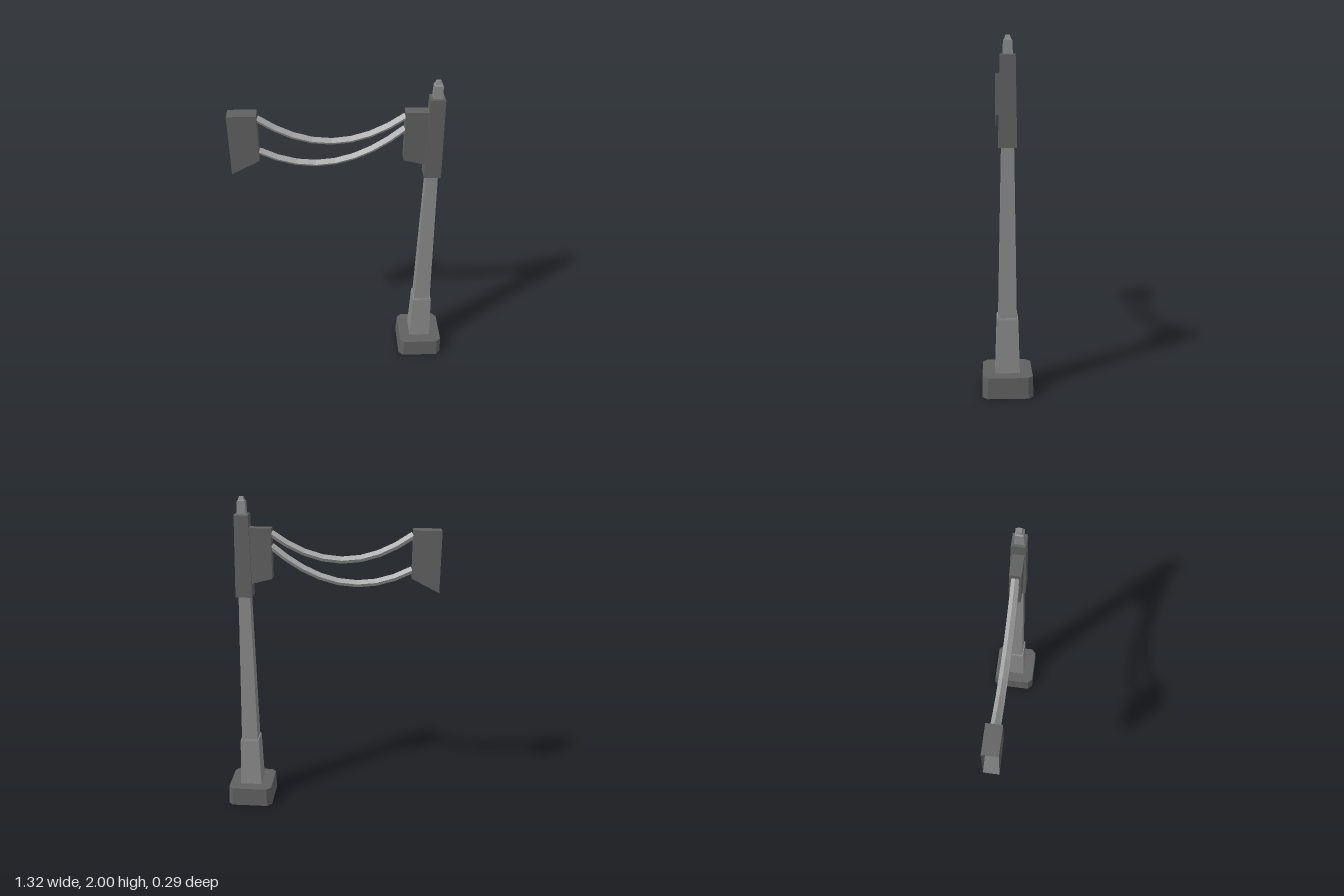
import * as THREE from 'three';

const mat = (name, color) => {
  const m = new THREE.MeshStandardMaterial({ color, side: THREE.DoubleSide });
  m.name = name;
  return m;
};

// Facets a geometry so every face has its own normal
function faceted(geometry) {
  const g = geometry.toNonIndexed();
  g.computeVertexNormals();
  return g;
}

function part(name, geometry, material) {
  const mesh = new THREE.Mesh(faceted(geometry), material);
  mesh.name = name;
  return mesh;
}

// Square column from [half width, y] pairs, listed upward
function squareColumn(profile) {
  const pts = profile.map(([h, y]) => new THREE.Vector2(h * Math.SQRT2, y));
  return new THREE.LatheGeometry(pts, 4, Math.PI / 4);
}

// Square column with cut corners
function chamferedColumn(profile, cut) {
  const pts = profile.map(([h, y]) => new THREE.Vector2(h, y));
  const g = new THREE.LatheGeometry(pts, 8, Math.PI / 8);
  const p = g.attributes.position;
  for (let i = 0; i < p.count; i++) {
    const x = p.getX(i), z = p.getZ(i), r = Math.hypot(x, z);
    const wideX = Math.abs(x) > Math.abs(z);
    p.setX(i, Math.sign(x) * r * (wideX ? 1 : 1 - cut));
    p.setZ(i, Math.sign(z) * r * (wideX ? 1 - cut : 1));
  }
  return g;
}

// Housing with a sloping floor, open at one end
function housing(x0, x1, top, low0, low1, half, openLeft) {
  const outline = [[x0, low0], [x1, low1], [x1, top], [x0, top]];
  const corners = [half, -half].flatMap((z) => outline.map(([x, y]) => [x, y, z]));
  const quads = [[0, 1, 2, 3], [5, 4, 7, 6], [3, 2, 6, 7], [4, 5, 1, 0]];
  quads.push(openLeft ? [1, 5, 6, 2] : [4, 0, 3, 7]);
  const g = new THREE.BufferGeometry();
  g.setAttribute('position', new THREE.Float32BufferAttribute(corners.flat(), 3));
  g.setIndex(quads.flatMap(([a, b, c, d]) => [a, b, c, a, c, d]));
  return g;
}

// Sagging four-sided cable
function cable(startY, sagY, endY) {
  const curve = new THREE.QuadraticBezierCurve3(
    new THREE.Vector3(-0.5, startY, 0),
    new THREE.Vector3(-0.08, sagY, 0),
    new THREE.Vector3(0.345, endY, 0));
  return new THREE.TubeGeometry(curve, 8, 0.022, 4, false);
}

export function createModel() {
  const dark = mat('dark metal', 0x606060);
  const grey = mat('grey metal', 0x8a8a8a);
  const light = mat('light cable', 0xa8a8a8);

  // Post, stacked from the ground up
  const post = new THREE.Group();
  post.name = 'post';
  post.position.x = 0.515;
  post.add(
    part('base', chamferedColumn([[0.145, 0], [0.14, 0.12], [0, 0.12]], 0.2), dark),
    part('pedestal', squareColumn([[0.069, 0.12], [0.06, 0.43], [0.058, 0.44], [0.05, 0.44]]), grey),
    part('shaft', squareColumn([[0.052, 0.43], [0.035, 1.42]]), grey),
    part('sleeve', squareColumn([[0.036, 1.4], [0.051, 1.4], [0.042, 1.895], [0.04, 1.9], [0, 1.9]]), dark),
    part('cap', squareColumn([[0.028, 1.895], [0.024, 1.975], [0.018, 1.98], [0.012, 2], [0, 2]]), grey));

  const model = new THREE.Group();
  model.name = 'cablePost';
  model.add(
    post,
    part('postBracket', housing(0.34, 0.475, 1.82, 1.515, 1.48, 0.034, false), dark),
    part('endBracket', housing(-0.663, -0.497, 1.82, 1.45, 1.535, 0.045, true), dark),
    part('upperCable', cable(1.787, 1.475, 1.787), light),
    part('lowerCable', cable(1.58, 1.345, 1.71), light));
  return model;
}
